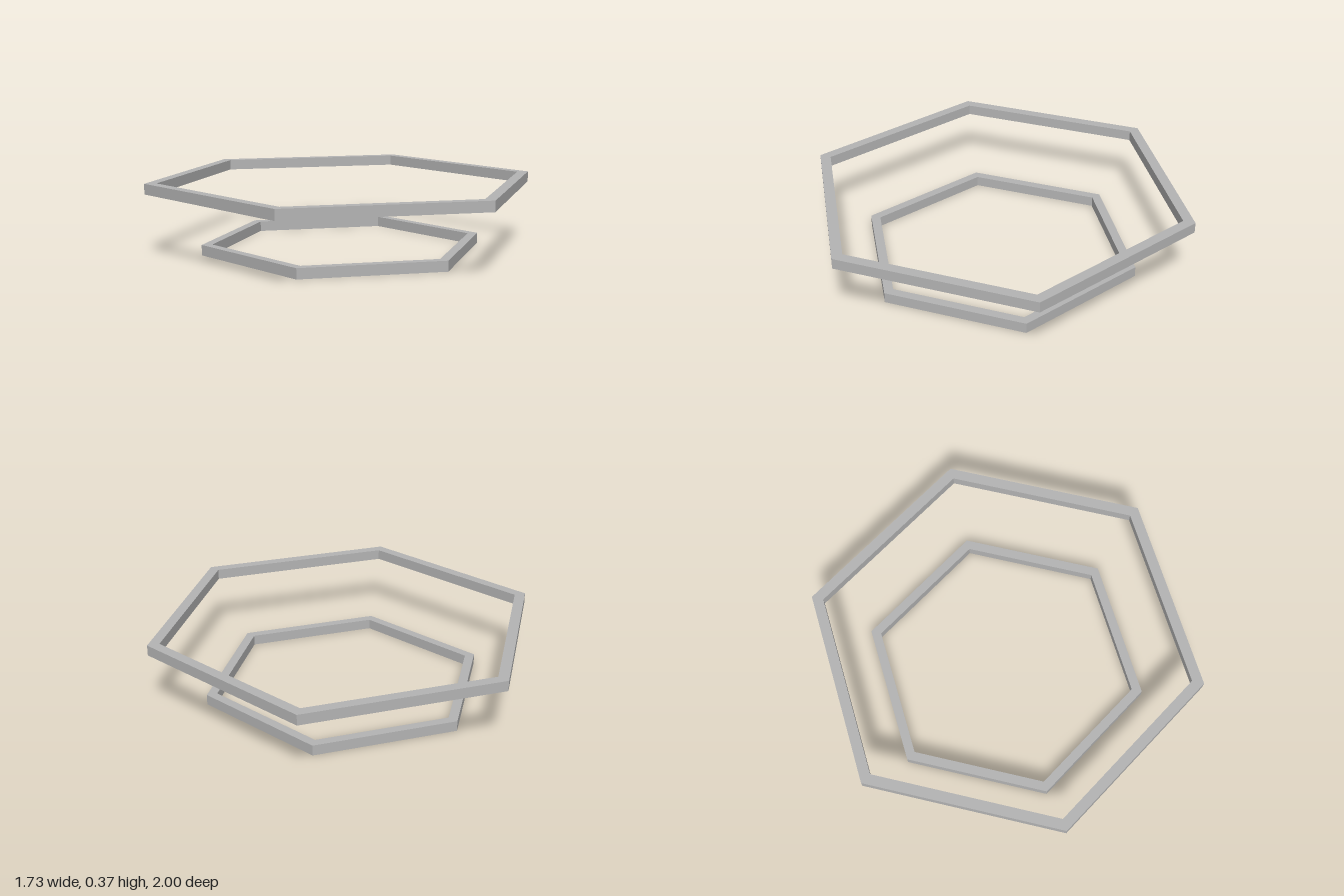
import * as THREE from 'three';

// Corners of a hexagon with a point towards +z and -z
function hexagon(radius) {
  return Array.from({ length: 6 }, (_, i) => {
    const a = Math.PI / 2 + (i * Math.PI) / 3;
    return new THREE.Vector2(radius * Math.cos(a), radius * Math.sin(a));
  });
}

// Flat hexagonal frame lying level, its underside at the given height
function hexFrame(name, outer, inner, bottom, height, material) {
  const shape = new THREE.Shape(hexagon(outer));
  shape.holes.push(new THREE.Path(hexagon(inner)));
  const geometry = new THREE.ExtrudeGeometry(shape, { depth: height, bevelEnabled: false });
  geometry.rotateX(-Math.PI / 2);
  const mesh = new THREE.Mesh(geometry, material);
  mesh.name = name;
  mesh.position.y = bottom;
  return mesh;
}

export function createModel() {
  const grey = new THREE.MeshStandardMaterial({ color: 0xb4b4b4 });
  grey.name = 'grey';

  const model = new THREE.Group();
  model.name = 'hexagonalFrames';
  model.add(
    hexFrame('lowerFrame', 0.725, 0.672, 0, 0.053, grey),
    hexFrame('upperFrame', 1, 0.94, 0.318, 0.053, grey)
  );
  return model;
}
